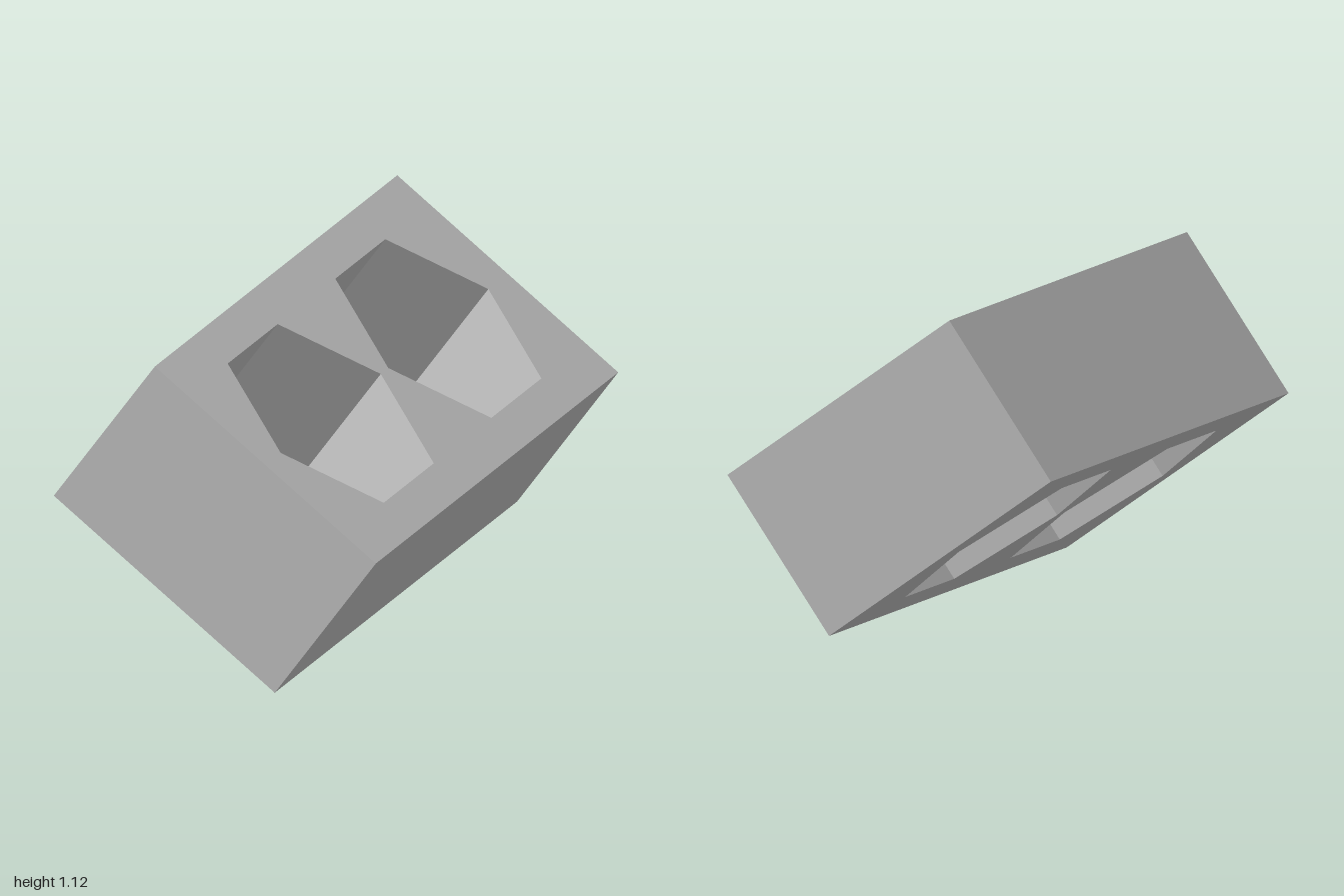
import * as THREE from 'three';

const LENGTH = 1.013, THICKNESS = 0.651, WIDTH = 2;
const TILT = -0.619; // radians, slopes down toward +x
const HOLE_RADIUS = 0.413;
const HOLE_Z = [-0.427, 0.461];

// Hexagon with its points along the block's width
function hexagonHole(z) {
  const points = [];
  for (let i = 0; i < 6; i++) {
    const a = Math.PI / 2 - i * Math.PI / 3;
    points.push(new THREE.Vector2(HOLE_RADIUS * Math.cos(a), -z + HOLE_RADIUS * Math.sin(a)));
  }
  return new THREE.Path(points);
}

export function createModel() {
  const model = new THREE.Group();
  model.name = 'tiltedBlock';
  const grey = new THREE.MeshStandardMaterial({ color: 0xbcbcbc });
  grey.name = 'light grey';

  // Rectangular slab outline with two hexagonal through holes
  const l = LENGTH / 2, w = WIDTH / 2;
  const outline = new THREE.Shape([
    new THREE.Vector2(-l, -w), new THREE.Vector2(l, -w),
    new THREE.Vector2(l, w), new THREE.Vector2(-l, w),
  ]);
  outline.holes = HOLE_Z.map(hexagonHole);

  // Extruded through its thickness, laid flat, then tilted
  const geometry = new THREE.ExtrudeGeometry(outline, { depth: THICKNESS, bevelEnabled: false });
  geometry.translate(0, 0, -THICKNESS / 2);
  geometry.rotateX(-Math.PI / 2);
  geometry.rotateZ(TILT);
  geometry.computeBoundingBox();
  geometry.translate(0, -geometry.boundingBox.min.y, 0);

  const block = new THREE.Mesh(geometry, grey);
  block.name = 'blockWithHexagonalHoles';
  model.add(block);
  return model;
}
